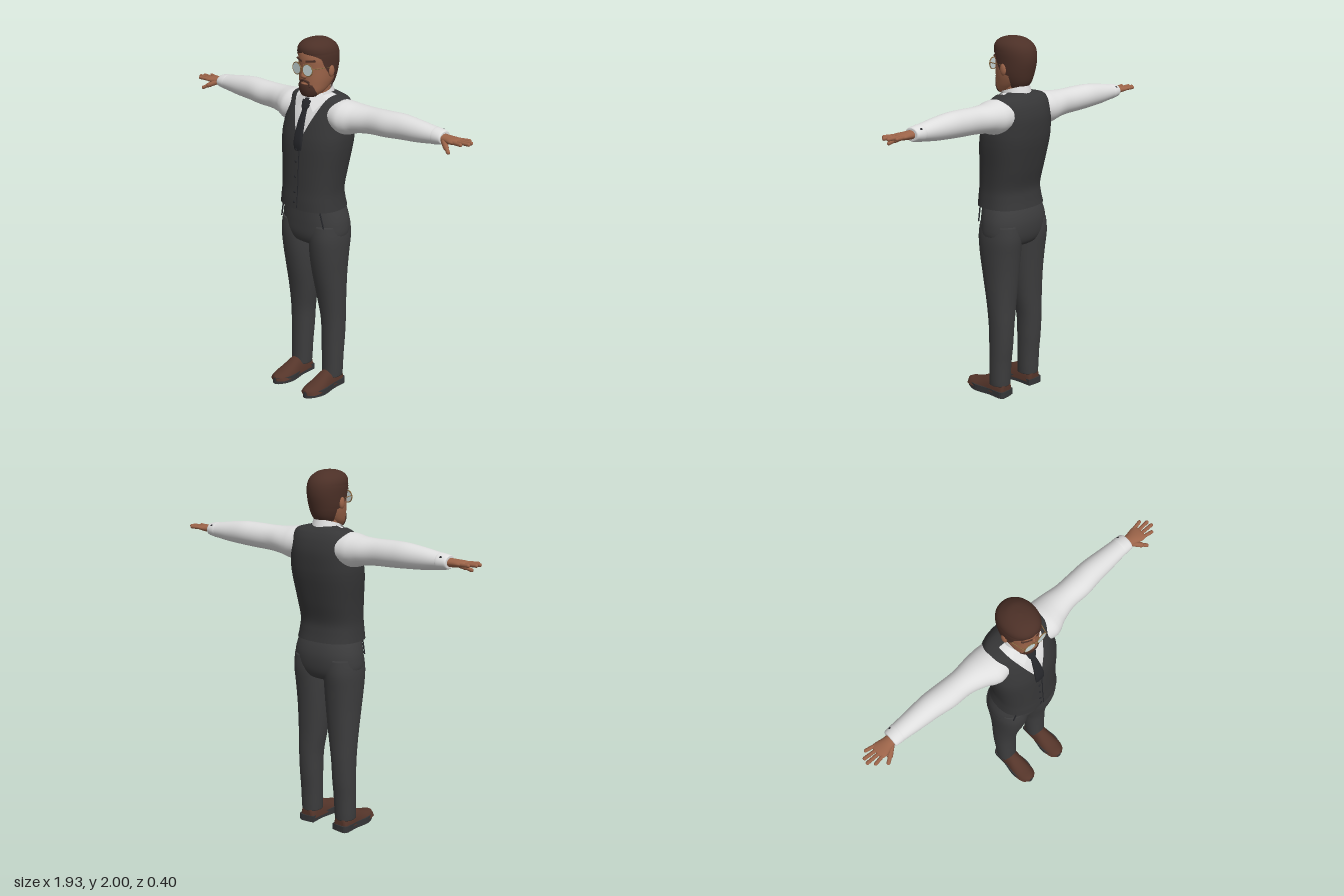
import * as THREE from 'three';
import { mergeVertices } from 'three/addons/utils/BufferGeometryUtils.js';

const paint = (name, color, side = THREE.FrontSide) => {
  const m = new THREE.MeshStandardMaterial({ color, side });
  m.name = name;
  return m;
};

// Smooth loft through elliptical rings. Row: [height, centreX, centreZ, radiusX, radiusZ].
// range(y, rx) gives the start and end angle of an open ring (0 = front, PI/2 = +x).
function loft(rows, { n = 2, seg = 32, sub = 5, range = null } = {}) {
  const rings = [];
  for (let i = 0; i < rows.length - 1; i++) {
    const p = [rows[Math.max(i - 1, 0)], rows[i], rows[i + 1], rows[Math.min(i + 2, rows.length - 1)]];
    for (let k = 0; k < sub + (i === rows.length - 2 ? 1 : 0); k++) {
      const t = k / sub;
      rings.push(p[1].map((b, c) => {
        const m0 = (p[2][c] - p[0][c]) / 2, m1 = (p[3][c] - b) / 2, d = p[2][c] - b;
        return b + t * (m0 + t * (3 * d - 2 * m0 - m1 + t * (m0 + m1 - 2 * d)));
      }));
    }
  }
  const pos = [], idx = [], w = seg + 1;
  const pw = v => Math.sign(v) * Math.abs(v) ** (2 / n);
  for (const [y, cx, cz, rx, rz] of rings) {
    const [a, b] = range ? range(y, rx) : [0, Math.PI * 2];
    for (let j = 0; j <= seg; j++) {
      const q = (!range && j === seg) ? a : a + (b - a) * j / seg;
      pos.push(cx + rx * pw(Math.sin(q)), y, cz + rz * pw(Math.cos(q)));
    }
  }
  for (let i = 0; i < rings.length - 1; i++) for (let j = 0; j < seg; j++) {
    const a = i * w + j;
    idx.push(a, a + 1, a + w + 1, a, a + w + 1, a + w);
  }
  if (!range) for (const [r, up] of [[0, false], [rings.length - 1, true]]) {
    const c = pos.length / 3;
    pos.push(rings[r][1], rings[r][0], rings[r][2]);
    for (let j = 0; j < seg; j++) {
      const a = r * w + j;
      up ? idx.push(c, a, a + 1) : idx.push(c, a + 1, a);
    }
  }
  let g = new THREE.BufferGeometry();
  g.setAttribute('position', new THREE.Float32BufferAttribute(pos, 3));
  g.setIndex(idx);
  g = mergeVertices(g, 1e-5);
  g.computeVertexNormals();
  return g;
}

// Ring row from half width, front z and back z
const fb = ([y, rx, f, b]) => [y, 0, (f + b) / 2, rx, (f - b) / 2];
// Loft along x: rows [x, y, z, radiusY, radiusZ]
const loftX = (rows, o) => loft(rows.map(([x, y, ...r]) => [x, -y, ...r]), o).rotateZ(-Math.PI / 2).scale(1, 1, 1)
  .applyMatrix4(new THREE.Matrix4());
const ball = (x, y, z, a, b, c) => new THREE.SphereGeometry(1, 16, 12).scale(a, b, c).translate(x, y, z);
// Rounded rod between two points
function rod(a, b, r) {
  const A = new THREE.Vector3(...a), B = new THREE.Vector3(...b), d = B.clone().sub(A);
  const q = new THREE.Quaternion().setFromUnitVectors(new THREE.Vector3(0, 1, 0), d.clone().normalize());
  const c = A.add(B).multiplyScalar(0.5);
  return new THREE.CapsuleGeometry(r, d.length(), 5, 10).applyQuaternion(q).translate(c.x, c.y, c.z);
}
function mirror(g) {
  const m = g.clone().scale(-1, 1, 1), ix = m.index.array;
  for (let i = 0; i < ix.length; i += 3) [ix[i], ix[i + 1]] = [ix[i + 1], ix[i]];
  return m;
}
// Piecewise linear lookup in [[x, value], ...]
function lerpTable(table, x) {
  for (let i = 1; i < table.length; i++) if (x <= table[i][0]) {
    const [a, b] = [table[i - 1], table[i]];
    return THREE.MathUtils.lerp(a[1], b[1], THREE.MathUtils.clamp((x - a[0]) / (b[0] - a[0]), 0, 1));
  }
  return table[table.length - 1][1];
}

export function createModel() {
  const model = new THREE.Group();
  model.name = 'man';
  const skin = paint('skin', 0x9c6449), hair = paint('hair brown', 0x4c3027, THREE.DoubleSide);
  const shirt = paint('shirt white', 0xdedede, THREE.DoubleSide), vest = paint('vest charcoal', 0x363637, THREE.DoubleSide);
  const cloth = paint('trouser grey', 0x3d3d3e), dark = paint('tie black', 0x26272b);
  const leather = paint('shoe leather', 0x55352a), sole = paint('sole grey', 0x363638);
  const glass = paint('lens', 0xc9d8d8), metal = paint('frame metal', 0x8a6a42);
  const add = (name, g, m) => {
    const mesh = new THREE.Mesh(g, m);
    mesh.name = name;
    model.add(mesh);
  };
  const pair = (name, g, m) => { add(name + 'Left', g, m); add(name + 'Right', mirror(g), m); };

  // Torso: shirt body under a vest with a V neck
  const torso = [
    [1.09, .187, .14, -.16], [1.14, .18, .137, -.148], [1.2, .176, .131, -.142], [1.3, .184, .126, -.165],
    [1.4, .197, .12, -.186], [1.45, .202, .115, -.195], [1.5, .203, .105, -.2], [1.58, .195, .08, -.201],
    [1.64, .187, .052, -.187], [1.675, .176, .032, -.168], [1.692, .155, .015, -.152], [1.704, .11, .005, -.138],
    [1.712, .075, 0, -.125]];
  const chest = y => lerpTable(torso.map(r => [r[0], r[2]]), y);
  const N = 2.4;
  add('vest', loft(torso.map(fb), {
    n: N, seg: 64, range: (y, rx) => {
      const x = Math.max(0, (y - 1.445) * .43);
      const a = Math.asin(Math.min(1, x / rx) ** (N / 2));
      return [a, Math.PI * 2 - a];
    }
  }), vest);
  add('shirtBody', loft(torso.slice(3).map(([y, r, f, b]) => fb([y - .005, r - .007, f - .006, b + .007])), { n: N, seg: 48 }), shirt);
  // Vest closing edge and buttons
  add('vestEdge', loft([1.1, 1.2, 1.3, 1.4, 1.44].map(y => [y, .012, chest(y), .003, .003]), { seg: 8 }), dark);
  for (const y of [1.13, 1.185, 1.27, 1.355, 1.42]) add('button', ball(-.008, y, chest(y) + .001, .007, .007, .005), dark);

  // Necktie
  add('tie', loft([[1.4, .028, -.012], [1.45, .029, -.001], [1.5, .027, .002], [1.57, .021, .003], [1.625, .014, .004],
    [1.64, .022, .007], [1.672, .03, .008], [1.682, .02, .004]].map(([y, r, o]) => [y, 0, chest(y) + o, r, .009]), { n: 3, seg: 20 }), dark);

  // Collar band, sloping down to the front, and its folded points
  const collar = loft([[1.655, 0, -.055, .09, .086], [1.69, 0, -.052, .08, .08], [1.725, 0, -.05, .07, .073]],
    { seg: 40, range: () => [.2, Math.PI * 2 - .2] });
  const cp = collar.attributes.position;
  for (let i = 0; i < cp.count; i++) cp.setY(i, cp.getY(i) - (cp.getZ(i) + .05) * .3);
  collar.computeVertexNormals();
  add('collar', collar, shirt);
  const flap = new THREE.BufferGeometry();
  flap.setAttribute('position', new THREE.Float32BufferAttribute(
    [.012, 1.69, .038, .02, 1.665, .052, .062, 1.625, .066, .088, 1.675, .015, .062, 1.715, -.01], 3));
  flap.setIndex([0, 1, 2, 0, 2, 3, 0, 3, 4]);
  flap.computeVertexNormals();
  pair('collarPoint', flap, shirt);

  // Sleeves, cuffs and hands
  pair('sleeve', loftX([[.12, 1.6, -.065, .085, .1], [.18, 1.597, -.062, .09, .108], [.22, 1.597, -.066, .086, .102],
    [.27, 1.602, -.075, .076, .087], [.35, 1.606, -.08, .07, .071], [.45, 1.609, -.082, .069, .072],
    [.54, 1.612, -.089, .066, .067], [.64, 1.61, -.091, .057, .059], [.72, 1.609, -.093, .046, .052],
    [.755, 1.609, -.094, .041, .05]]), shirt);
  pair('cuff', loftX([[.735, 1.609, -.094, .042, .049], [.75, 1.609, -.094, .043, .051], [.79, 1.609, -.093, .036, .047],
    [.798, 1.609, -.092, .03, .04]]), shirt);
  pair('cuffButton', ball(.765, 1.634, -.127, .009, .007, .007), dark);
  pair('palm', loftX([[.77, 1.61, -.09, .022, .03], [.82, 1.608, -.087, .021, .034], [.86, 1.609, -.084, .017, .044],
    [.885, 1.61, -.084, .012, .042], [.892, 1.61, -.084, .005, .03]]), skin);
  const fingers = [[.87, -.117, .922, -.127], [.88, -.096, .951, -.1], [.882, -.074, .955, -.073], [.875, -.053, .928, -.043]];
  for (const [x0, z0, x1, z1] of fingers) pair('finger', rod([x0, 1.61, z0], [x1, 1.612, z1], .0095), skin);
  pair('thumb', rod([.815, 1.6, -.062], [.85, 1.583, -.035], .014), skin);
  pair('thumbTip', rod([.85, 1.583, -.035], [.876, 1.568, -.018], .01), skin);

  // Trousers
  add('hips', loft([[.865, .07, .03, -.09], [.885, .15, .08, -.135], [.93, .198, .1, -.158], [1, .201, .105, -.166],
    [1.06, .19, .106, -.158], [1.12, .172, .106, -.138]].map(fb), { n: 2.3, seg: 48 }), cloth);
  pair('trouserLeg', loft([[.065, .118, -.036, .056, .058], [.1, .118, -.038, .058, .058], [.2, .117, -.041, .061, .06],
    [.3, .116, -.046, .064, .065], [.42, .114, -.047, .068, .07], [.55, .106, -.04, .08, .08], [.7, .1, -.03, .091, .1],
    [.82, .1, -.026, .098, .116], [.92, .102, -.028, .1, .126], [1, .1, -.03, .095, .12]], { n: 2.2 }), cloth);
  // Pocket slits
  pair('pocket', rod([.135, 1.085, .089], [.155, 1.0, .083], .004), dark);

  // Shoes: upper with a flattened underside over a thick sole
  const upper = loft([[-.092, .118, 0, .03, .08], [-.08, .118, 0, .046, .1], [-.03, .118, 0, .05, .112], [.03, .118, 0, .052, .104],
    [.08, .119, 0, .057, .08], [.13, .12, 0, .058, .062], [.17, .119, 0, .047, .053], [.193, .118, 0, .02, .042]], { n: 2.3 }).rotateX(Math.PI / 2);
  const up = upper.attributes.position;
  for (let i = 0; i < up.count; i++) up.setY(i, Math.max(up.getY(i), .02));
  upper.computeVertexNormals();
  pair('shoe', upper, leather);
  const print = new THREE.Shape();
  print.setFromPoints(new THREE.SplineCurve([[.07, .09], [.072, 0], [.06, -.1], [.085, -.172], [.118, -.196], [.151, -.172],
    [.179, -.1], [.168, 0], [.166, .09], [.118, .098], [.07, .09]].map(p => new THREE.Vector2(...p))).getPoints(50));
  const soleGeo = mergeVertices(new THREE.ExtrudeGeometry(print, { depth: .036, bevelEnabled: false }).rotateX(-Math.PI / 2));
  pair('sole', soleGeo, sole);

  // Head, neck and facial features
  add('neck', loft([[1.62, 0, -.06, .066, .062], [1.69, 0, -.052, .058, .06], [1.77, 0, -.05, .06, .062]]), skin);
  const face = [[1.7, .035, .05, -.01], [1.708, .05, .058, -.035], [1.73, .066, .065, -.075], [1.765, .077, .067, -.115],
    [1.8, .084, .067, -.135], [1.85, .089, .066, -.15], [1.9, .09, .069, -.15], [1.945, .08, .056, -.135], [1.98, .045, .02, -.09]];
  add('head', loft(face.map(fb), { n: 2.2, seg: 40 }), skin);
  pair('ear', ball(.093, 1.832, -.042, .012, .032, .02), skin);
  add('nose', loft([[1.794, 0, .064, .008, .006], [1.804, 0, .066, .018, .017], [1.815, 0, .067, .014, .018],
    [1.835, 0, .065, .009, .013], [1.868, 0, .061, .009, .009]], { seg: 16 }), skin);
  add('lips', ball(0, 1.767, .067, .02, .005, .006), skin);
  pair('brow', rod([.018, 1.888, .067], [.06, 1.893, .05], .006), hair);

  // Hair cap with a hairline that drops into sideburns and passes behind the ears
  const line = [[1.735, 2.0], [1.8, 1.85], [1.815, 1.45], [1.86, 1.15], [1.9, 1.0], [1.918, .7], [1.93, 0]];
  add('hair', loft([[1.735, .066, .05, -.118], [1.765, .08, .06, -.137], [1.81, .092, .07, -.152], [1.87, .097, .074, -.165],
    [1.92, .098, .076, -.163], [1.955, .09, .074, -.147], [1.98, .068, .052, -.116], [1.994, .038, .015, -.085],
    [2, .001, -.034, -.036]].map(fb), {
    n: 2.1, seg: 48, range: y => { const a = lerpTable(line, y); return [a, Math.PI * 2 - a]; }
  }), hair);
  // Chin beard and moustache
  add('beard', loft([[1.693, .004, .03, .02], [1.696, .036, .054, -.012], [1.706, .053, .064, -.037], [1.73, .069, .071, -.077],
    [1.752, .076, .072, -.105], [1.765, .079, .07, -.116]].map(fb), {
    n: 2.2, range: y => { const a = lerpTable([[1.7, 1.5], [1.73, 1.0], [1.765, .6]], y); return [-a, a]; }
  }), hair);
  pair('moustache', rod([.002, 1.787, .069], [.028, 1.779, .064], .006), hair);
  pair('moustacheEnd', rod([.028, 1.779, .064], [.034, 1.755, .062], .005), hair);

  // Round glasses
  pair('lens', new THREE.CylinderGeometry(.031, .031, .004, 32).rotateX(Math.PI / 2).rotateY(.12).translate(.038, 1.847, .08), glass);
  pair('lensRim', new THREE.TorusGeometry(.031, .003, 8, 32).rotateY(.12).translate(.038, 1.847, .08), metal);
  pair('temple', rod([.069, 1.855, .076], [.096, 1.853, -.035], .0025), metal);
  add('bridge', rod([-.008, 1.853, .084], [.008, 1.853, .084], .003), metal);
  return model;
}
